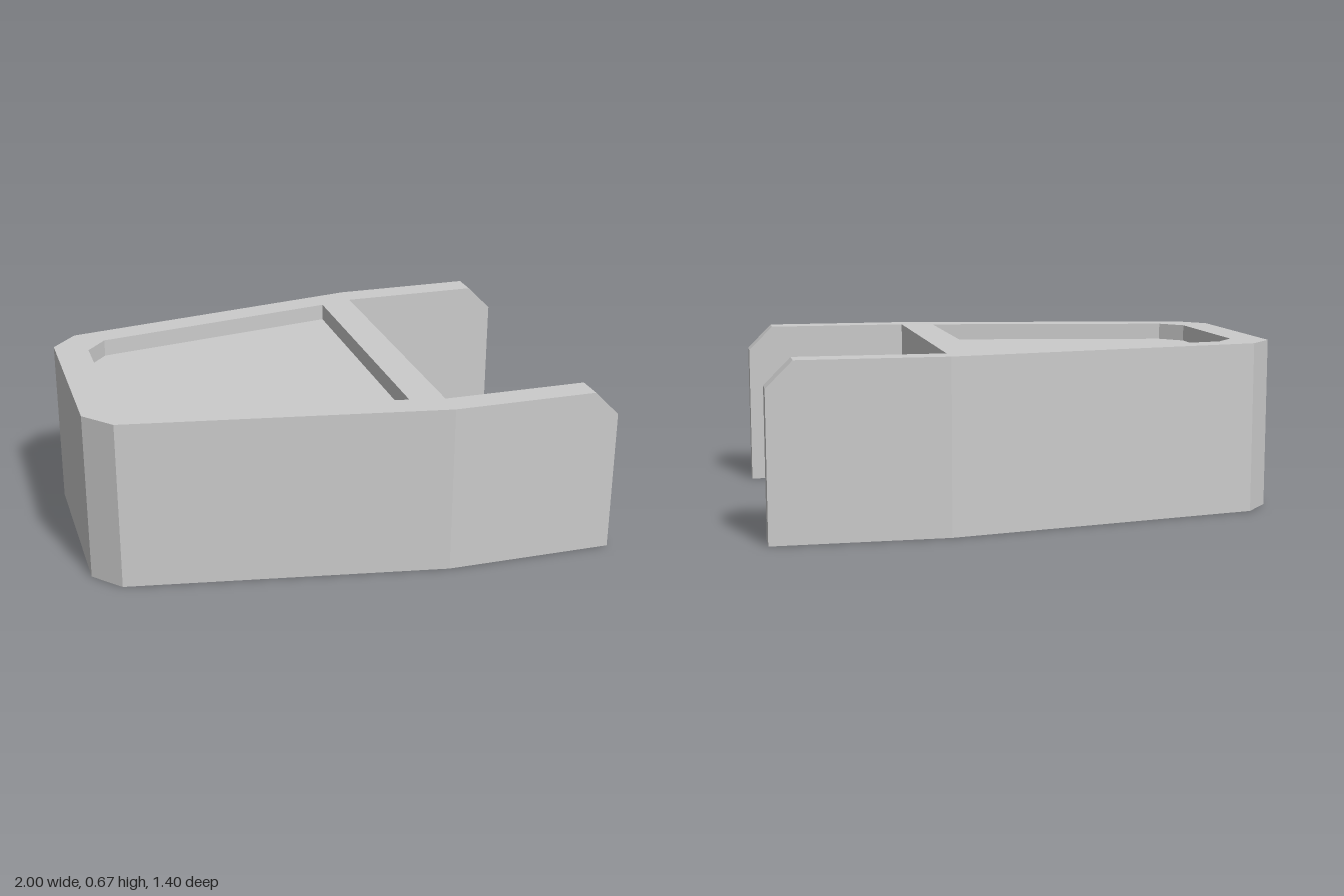
import * as THREE from 'three';

const material = new THREE.MeshStandardMaterial({ color: 0xcccccc, flatShading: true });

const HEIGHT = 0.667, SLOT_TOP = 0.5, RECESS_FLOOR = 0.6;
const BACK = 0.333; // x where the body ends and the arms begin

const points = (list) => list.map(([x, y]) => new THREE.Vector2(x, y));

// Half outline (x, half width) mirrored into a closed plan
const mirrored = (half) => points([
  ...half.map(([x, w]) => [x, -w]),
  ...half.slice().reverse(),
]);

// Extrude a plan upwards between two heights (plan y runs along -z)
function slab(name, shape, y0, y1) {
  const geometry = new THREE.ExtrudeGeometry(shape, { depth: y1 - y0, bevelEnabled: false });
  geometry.rotateX(-Math.PI / 2).translate(0, y0, 0);
  const mesh = new THREE.Mesh(geometry, material);
  mesh.name = name;
  return mesh;
}

export function createModel() {
  const group = new THREE.Group();
  group.name = 'taperedHousing';

  const outline = mirrored([[-1, 0.37], [-0.9, 0.483], [BACK, 0.7]]);

  // Lower body, with an off-centre channel open below and towards the arms
  const channel = points([[BACK, -0.1], [-0.735, -0.1], [-0.735, 0.233], [BACK, 0.233]]);
  const lower = new THREE.Shape([
    ...outline.slice(0, 3), ...channel, ...outline.slice(3),
  ]);
  group.add(slab('lowerBody', lower, 0, SLOT_TOP));

  // Solid plate: roof of the channel and floor of the recess
  group.add(slab('middlePlate', new THREE.Shape(outline), SLOT_TOP, RECESS_FLOOR));

  // Raised rim around the top recess
  const rim = new THREE.Shape(outline);
  rim.holes.push(new THREE.Path(mirrored([[-0.87, 0.295], [-0.79, 0.39], [0.2, 0.562]])));
  group.add(slab('topRim', rim, RECESS_FLOOR, HEIGHT));

  // Two side arms with chamfered upper tips
  const profile = new THREE.Shape(points([
    [BACK, 0], [1, 0], [1, 0.567], [0.9, HEIGHT], [BACK, HEIGHT],
  ]));
  const thickness = 0.108;
  for (const [name, z] of [['frontArm', 0.7 - thickness], ['rearArm', -0.7]]) {
    const geometry = new THREE.ExtrudeGeometry(profile, { depth: thickness, bevelEnabled: false });
    const arm = new THREE.Mesh(geometry, material);
    arm.name = name;
    arm.position.z = z;
    group.add(arm);
  }

  return group;
}
